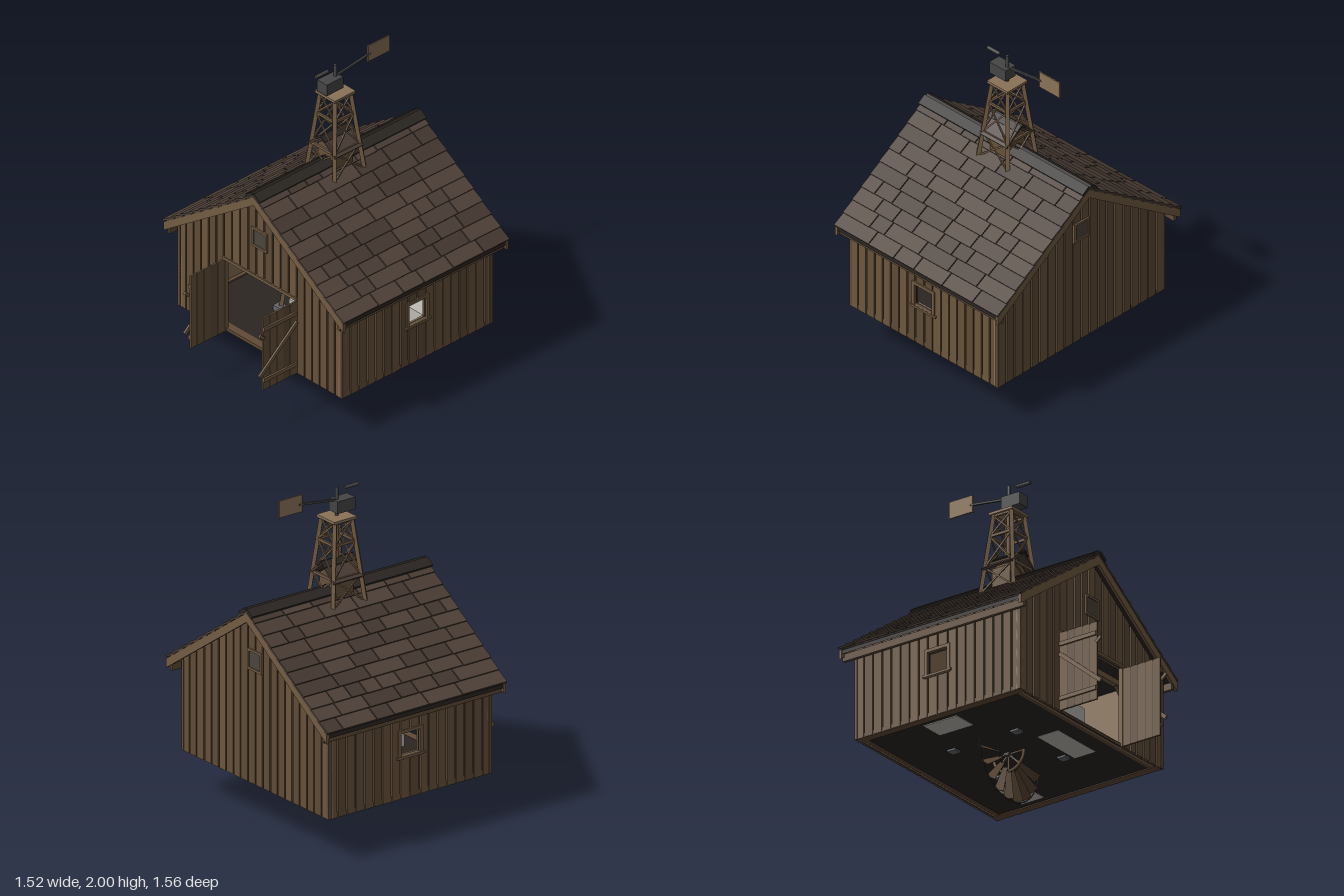
import * as THREE from 'three';

const mat = (color, side = THREE.FrontSide) => new THREE.MeshStandardMaterial({ color, side });
const wood = [0x66513a, 0x604b36, 0x6c563e].map((c) => mat(c));
const tiles = [0x4a3d35, 0x443830, 0x4f4138].map((c) => mat(c));
const dark = mat(0x2b2622), trim = mat(0x735c44), pale = mat(0x8a7258), iron = mat(0x454545);
const bladeMat = mat(0x5a4634), straw = mat(0xbdbbb4), stone = mat(0x66686a), glow = mat(0xd8b25a);

const SLOPE = 0.69, PITCH = Math.atan(SLOPE), FLOOR = 0.29, ZC = -0.115;
const V = (x, y, z) => new THREE.Vector3(x, y, z);

// small seeded generator for uneven boards and shingles
let seed = 7;
const rand = () => (seed = (seed * 16807) % 2147483647) / 2147483647;
const pick = (list) => list[Math.floor(rand() * list.length)];

function add(parent, name, geo, material, x = 0, y = 0, z = 0) {
  const m = new THREE.Mesh(geo, material);
  m.name = name;
  m.position.set(x, y, z);
  parent.add(m);
  return m;
}
const box = (p, name, w, h, d, m, x, y, z) => add(p, name, new THREE.BoxGeometry(w, h, d), m, x, y, z);
function beam(p, name, a, b, w, h, m) {
  const o = box(p, name, w, h, a.distanceTo(b), m, 0, 0, 0);
  o.position.copy(a).lerp(b, 0.5);
  o.lookAt(b);
  return o;
}
function group(parent, name) {
  const g = new THREE.Group();
  g.name = name;
  parent.add(g);
  return g;
}
const polygon = (pts) => new THREE.Shape(pts.map((p) => new THREE.Vector2(...p)));
const slab = (shape, depth) => new THREE.ExtrudeGeometry(shape, { depth, bevelEnabled: false });
const rect = (x0, x1, y0, y1) => [[x0, y0], [x1, y0], [x1, y1], [x0, y1]];

// vertical boards with dark gaps; top is a height function
function boards(p, x0, x1, n, y0, top) {
  const w = (x1 - x0) / n;
  for (let i = 0; i < n; i++) {
    const a = x0 + i * w + 0.004 + rand() * 0.004, b = x0 + (i + 1) * w - 0.004;
    const pts = [[a, y0], [b, y0], [b, top(b)]];
    if (a < 0 && b > 0) pts.push([0, top(0)]);
    pts.push([a, top(a)]);
    add(p, 'wallBoard', slab(polygon(pts), 0.012), pick(wood));
  }
}
function backing(p, outline, hole) {
  const s = polygon(outline);
  if (hole) s.holes.push(polygon(hole));
  add(p, 'wallBacking', slab(s, 0.01), dark, 0, 0, -0.01);
  add(p, 'wallLining', slab(s, 0.01), pale, 0, 0, -0.02);
}
function frame(p, w, h, t, x, y, z) {
  for (const s of [-1, 1]) {
    box(p, 'windowFrameRail', w + 2 * t, t, 0.016, trim, x, y + s * (h + t) / 2, z);
    box(p, 'windowFrameStile', t, h, 0.016, trim, x + s * (w + t) / 2, y, z);
  }
}

function buildWalls(root) {
  const gable = (x) => 1.335 - SLOPE * Math.abs(x), flat = (h) => () => h;
  const outline = [[-0.685, FLOOR], [0.685, FLOOR], [0.685, 0.862], [0, 1.335], [-0.685, 0.862]];
  for (const front of [true, false]) {
    const g = group(root, front ? 'frontWall' : 'backWall');
    g.position.z = front ? 0.464 : -0.693;
    g.rotation.y = front ? 0 : Math.PI;
    backing(g, outline, front && rect(-0.3, 0.3, FLOOR + 0.002, 0.785));
    if (front) {
      boards(g, -0.685, -0.305, 6, FLOOR, gable);
      boards(g, -0.305, 0.305, 9, 0.79, gable);
      boards(g, 0.305, 0.685, 6, FLOOR, gable);
      box(g, 'doorLintel', 0.62, 0.018, 0.016, trim, 0, 0.79, 0.012);
      for (const s of [-1, 1]) box(g, 'doorJamb', 0.016, 0.5, 0.03, trim, s * 0.3, 0.54, 0);
    } else boards(g, -0.685, 0.685, 20, FLOOR, gable);
    box(g, 'loftShutter', 0.1, 0.1, 0.014, stone, 0, 1.055, 0.008).material = mat(0x4c453e);
    frame(g, 0.1, 0.1, 0.014, 0, 1.055, 0.014);
  }
  for (const s of [-1, 1]) {
    const g = group(root, s > 0 ? 'leftWall' : 'rightWall');
    g.position.x = s * 0.673;
    g.rotation.y = s * Math.PI / 2;
    const span = (a, b) => [-s * a, -s * b].sort((m, n) => m - n);
    const [w0, w1] = span(-0.185, -0.045);
    backing(g, rect(...span(-0.705, 0.476), FLOOR, 0.86), rect(w0, w1, 0.555, 0.695));
    boards(g, ...span(-0.705, -0.185), 8, FLOOR, flat(0.86));
    boards(g, ...span(-0.045, 0.476), 8, FLOOR, flat(0.86));
    boards(g, w0, w1, 2, FLOOR, flat(0.555));
    boards(g, w0, w1, 2, 0.695, flat(0.86));
    frame(g, 0.14, 0.14, 0.02, -s * ZC, 0.625, 0.012);
    box(g, 'windowSill', 0.2, 0.014, 0.03, trim, -s * ZC, 0.547, 0.01);
    for (const z of [-0.697, 0.468]) box(root, 'cornerBoard', 0.02, 0.56, 0.02, wood[1], s * 0.677, 0.57, z);
    box(root, 'sillBeam', 0.05, 0.03, 1.17, wood[1], s * 0.655, FLOOR + 0.014, ZC);
  }
  box(root, 'floor', 1.35, 0.015, 1.16, dark, 0, FLOOR + 0.012, ZC);
  for (const z of [-0.67, 0.44]) box(root, 'sillBeam', 1.35, 0.02, 0.05, wood[1], 0, FLOOR + 0.011, z);
}

function buildDoors(root) {
  for (const s of [-1, 1]) {
    const g = group(root, s > 0 ? 'leftDoor' : 'rightDoor'), x = s * 0.303, o = s * 0.314;
    for (let i = 0; i < 5; i++) box(g, 'doorBoard', 0.012, 0.49, 0.05, pick(wood), x, 0.535, 0.503 + i * 0.0535);
    box(g, 'doorCore', 0.006, 0.48, 0.26, dark, x, 0.535, 0.61);
    for (const y of [0.36, 0.705]) box(g, 'doorRail', 0.012, 0.025, 0.26, trim, o, y, 0.612);
    beam(g, 'doorBrace', V(o, 0.645, 0.48), V(o, 0.395, 0.775), 0.012, 0.025, trim);
    beam(g, 'doorHandle', V(o, 0.645, 0.74), V(o, 0.675, 0.775), 0.012, 0.02, trim);
  }
}

function buildRoof(root) {
  const g = group(root, 'roof');
  const band = (hi, lo, e) => polygon([[0, hi], [-e, hi - SLOPE * e], [-e, lo - SLOPE * e], [0, lo], [e, lo - SLOPE * e], [e, hi - SLOPE * e]]);
  add(g, 'roofDeck', slab(band(1.362, 1.337, 0.745), 1.27), dark, 0, 0, -0.755);
  for (const z of [0.512, -0.77]) add(g, 'bargeBoard', slab(band(1.367, 1.31, 0.75), 0.018), trim, 0, 0, z);
  for (const s of [-1, 1]) {
    // overlapping shingle courses of uneven lengths
    for (let r = 0; r < 10; r++) {
      const x = 0.037 + r * 0.075;
      for (let z = -0.775; z < 0.53;) {
        let len = 0.11 + rand() * 0.17;
        if (0.535 - z - len < 0.08) len = 0.535 - z;
        const m = box(g, 'shingle', 0.1 + rand() * 0.006, 0.013, len - 0.006, pick(tiles), s * x, 1.376 - SLOPE * x, z + len / 2);
        m.rotation.z = s * (0.09 - PITCH);
        z += len;
      }
    }
    box(g, 'ridgeCap', 0.062, 0.022, 1.312, dark, s * 0.03, 1.371, -0.12).rotation.z = -s * PITCH;
    box(g, 'eaveBeam', 0.02, 0.045, 1.29, wood[1], s * 0.71, 0.81, -0.12);
  }
}

const spread = (y) => 0.062 + 0.108 * (1.8 - y);
function buildTower(root) {
  const g = group(root, 'windTower');
  const signs = [[1, 1], [-1, 1], [-1, -1], [1, -1]];
  const corner = (k, y) => V(signs[k % 4][0] * spread(y), y, ZC + signs[k % 4][1] * spread(y));
  const levels = [0.36, 0.8, 1.29, 1.46, 1.66, 1.79];
  for (let k = 0; k < 4; k++) {
    beam(g, 'towerLeg', corner(k, FLOOR), corner(k, 1.8), 0.024, 0.024, trim);
    const f = corner(k, FLOOR);
    box(g, 'footing', 0.055, 0.06, 0.055, stone, f.x, 0.313, f.z);
    levels.forEach((y, i) => {
      if (i) beam(g, 'towerRail', corner(k, y), corner(k + 1, y), 0.012, 0.016, trim);
      const t = levels[i + 1];
      if (!t || i === 0) return;
      beam(g, 'towerBrace', corner(k, y), corner(k + 1, t), 0.008, 0.01, trim);
      beam(g, 'towerBrace', corner(k + 1, y), corner(k, t), 0.008, 0.01, trim);
    });
  }
  box(g, 'platform', 0.165, 0.016, 0.165, pale, 0, 1.802, ZC);
  add(g, 'pumpRod', new THREE.CylinderGeometry(0.012, 0.012, 1.5, 8), trim, 0, 1.05, ZC);
  // little gabled cover where the tower leaves the ridge
  const c = group(g, 'cupola');
  add(c, 'cupolaBody', slab(polygon([[-0.075, 1.3], [0.075, 1.3], [0.075, 1.45], [0, 1.51], [-0.075, 1.45]]), 0.13), wood[0], 0, 0, ZC - 0.065);
  for (const s of [-1, 1]) {
    box(c, 'cupolaRoof', 0.145, 0.014, 0.22, tiles[0], s * 0.06, 1.49, ZC).rotation.z = -s * 0.68;
    box(c, 'cupolaRidge', 0.045, 0.014, 0.235, dark, s * 0.018, 1.534, ZC).rotation.z = -s * 0.68;
  }
  // gearbox, mast and tail
  box(g, 'gearbox', 0.08, 0.075, 0.13, iron, 0, 1.872, -0.075);
  add(g, 'mast', new THREE.CylinderGeometry(0.01, 0.01, 0.185, 10), iron, 0, 1.893, ZC);
  add(g, 'rotorShaft', new THREE.CylinderGeometry(0.011, 0.011, 0.095, 10), iron, 0, 1.967, -0.008).rotation.x = Math.PI / 2;
  beam(g, 'tailBoom', V(0, 1.908, -0.13), V(0, 1.942, -0.39), 0.012, 0.012, iron);
  box(g, 'tailVane', 0.008, 0.105, 0.165, pale, 0, 1.9475, -0.453);
  for (const z of [-0.372, -0.534]) box(g, 'vaneEdge', 0.012, 0.11, 0.006, trim, 0, 1.945, z);
}

function buildWheels(root) {
  const g = group(root, 'fanWheel');
  g.position.set(0, 0.288, ZC);
  for (const r of [0.284, 0.1]) add(g, 'fanRing', new THREE.TorusGeometry(r, 0.004, 6, 48), iron);
  for (let i = 0; i < 18; i++) {
    // tapered, pitched blade
    const arm = group(g, 'fanBladeArm');
    arm.rotation.z = (i / 18) * Math.PI * 2;
    const s = polygon([[-0.013, 0.095], [0.013, 0.095], [0.028, 0.277], [-0.028, 0.277]]);
    add(arm, 'fanBlade', slab(s, 0.005), bladeMat).rotation.y = 0.85;
  }
  for (let i = 0; i < 3; i++) box(g, 'fanSpoke', 0.008, 0.2, 0.008, iron, 0, 0, 0).rotation.z = i * Math.PI / 3;
  // small spoked wheel set across the fan
  const w = group(root, 'spokedWheel');
  w.position.set(0, 0.292, ZC);
  w.rotation.y = Math.PI / 2;
  add(w, 'wheelRim', new THREE.TorusGeometry(0.107, 0.009, 8, 32), trim);
  for (let i = 0; i < 4; i++) box(w, 'wheelSpoke', 0.011, 0.21, 0.011, trim, 0, 0, 0).rotation.z = i * Math.PI / 4;
  add(w, 'wheelHub', new THREE.CylinderGeometry(0.02, 0.02, 0.05, 12), iron).rotation.x = Math.PI / 2;
}

function buildInterior(root) {
  const g = group(root, 'interior');
  for (const [x, y, z, w, h, d] of [[0.09, 0.338, 0.23, 0.36, 0.09, 0.15], [0.115, 0.47, 0.2, 0.21, 0.18, 0.12],
    [0.47, 0.37, -0.38, 0.24, 0.16, 0.16], [-0.52, 0.37, -0.16, 0.16, 0.16, 0.24]]) box(g, 'strawBale', w, h, d, straw, x, y, z);
  box(g, 'benchTop', 0.5, 0.02, 0.16, trim, -0.32, 0.48, -0.58);
  for (const x of [-0.54, -0.1]) box(g, 'benchLeg', 0.03, 0.18, 0.13, trim, x, 0.39, -0.58);
  for (const z of [-0.5, 0.3]) {
    box(g, 'tieBeam', 1.32, 0.035, 0.035, trim, 0, 0.8, z);
    for (const s of [-1, 1]) beam(g, 'kneeBrace', V(s * 0.64, 0.62, z), V(s * 0.47, 0.79, z), 0.02, 0.02, trim);
  }
  // hanging lantern
  add(g, 'lanternCord', new THREE.CylinderGeometry(0.003, 0.003, 0.1, 6), dark, 0, 0.74, 0.3);
  add(g, 'lanternCap', new THREE.ConeGeometry(0.03, 0.025, 10), iron, 0, 0.69, 0.3);
  add(g, 'lanternGlass', new THREE.CylinderGeometry(0.017, 0.017, 0.05, 10), glow, 0, 0.653, 0.3);
  add(g, 'lanternBase', new THREE.CylinderGeometry(0.022, 0.022, 0.01, 10), iron, 0, 0.624, 0.3);
}

export function createModel() {
  const root = new THREE.Group();
  root.name = 'barn';
  [buildWalls, buildDoors, buildRoof, buildTower, buildWheels, buildInterior].forEach((build) => build(root));
  return root;
}
